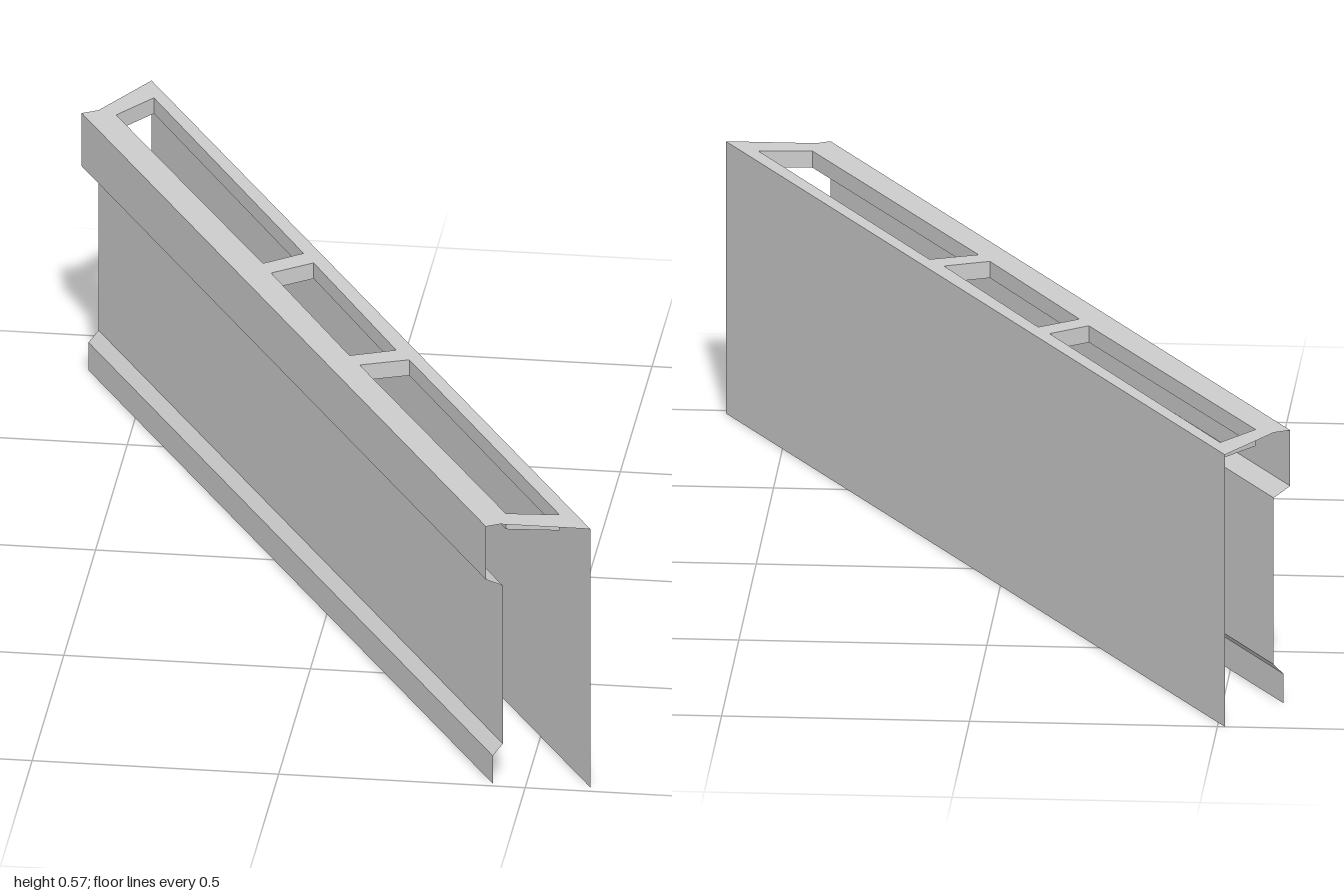
import * as THREE from 'three';

const TOP = 0.575, SKIRT = 0.54;
const material = new THREE.MeshStandardMaterial({
  color: 0xcccccc, flatShading: true, side: THREE.DoubleSide,
});

// Sheet made of quads between neighbouring cross-sections (lists of [x, y, z])
function sheet(name, sections) {
  const positions = [];
  for (let i = 0; i + 1 < sections.length; i++) {
    for (let j = 0; j + 1 < sections[i].length; j++) {
      const a = sections[i][j], b = sections[i + 1][j];
      const c = sections[i + 1][j + 1], d = sections[i][j + 1];
      positions.push(...a, ...b, ...c, ...a, ...c, ...d);
    }
  }
  const geometry = new THREE.BufferGeometry();
  geometry.setAttribute('position', new THREE.Float32BufferAttribute(positions, 3));
  geometry.computeVertexNormals();
  const mesh = new THREE.Mesh(geometry, material);
  mesh.name = name;
  return mesh;
}

export function createModel() {
  const group = new THREE.Group();
  group.name = 'slottedWall';

  // Plan corners as [x, z]
  const frontEnds = [[-0.635, -0.83], [0.42, 0.997]];
  const backEnds = [[0.63, 0.982], [-0.515, -1]];
  const outline = [frontEnds[0], frontEnds[1], [0.447, 0.982], ...backEnds, [-0.603, -0.848]];
  const slots = [
    [[-0.5, -0.92], [-0.565, -0.83], [-0.183, -0.175], [-0.108, -0.232]],
    [[-0.082, -0.19], [-0.161, -0.132], [0.045, 0.233], [0.135, 0.196]],
    [[0.167, 0.238], [0.071, 0.275], [0.452, 0.931], [0.56, 0.923]],
  ];

  // Flat top frame with three slots
  const toShape = ([x, z]) => new THREE.Vector2(x, -z);
  const shape = new THREE.Shape(outline.map(toShape));
  shape.holes = slots.map((s) => new THREE.Path(s.map(toShape)));
  const frame = new THREE.Mesh(new THREE.ShapeGeometry(shape).rotateX(-Math.PI / 2), material);
  frame.name = 'topFrame';
  frame.position.y = TOP;
  group.add(frame);

  // Short skirts hanging around each slot
  slots.forEach((slot, i) => {
    const loop = [...slot, slot[0]];
    group.add(sheet(`slotSkirt${i + 1}`, loop.map(([x, z]) => [[x, TOP, z], [x, SKIRT, z]])));
  });

  // Front wall: [height, inset] profile with a recessed middle
  const profile = [[0, 0.013], [0.062, 0.013], [0.085, 0.032], [0.437, 0.032], [0.457, 0], [TOP, 0]];
  group.add(sheet('frontWall', frontEnds.map(([x, z]) =>
    profile.map(([y, inset]) => [x + inset, y, z - inset * 0.577]))));

  // Plain back wall
  group.add(sheet('backWall', backEnds.map(([x, z]) => [[x, 0, z], [x, TOP, z]])));

  return group;
}
